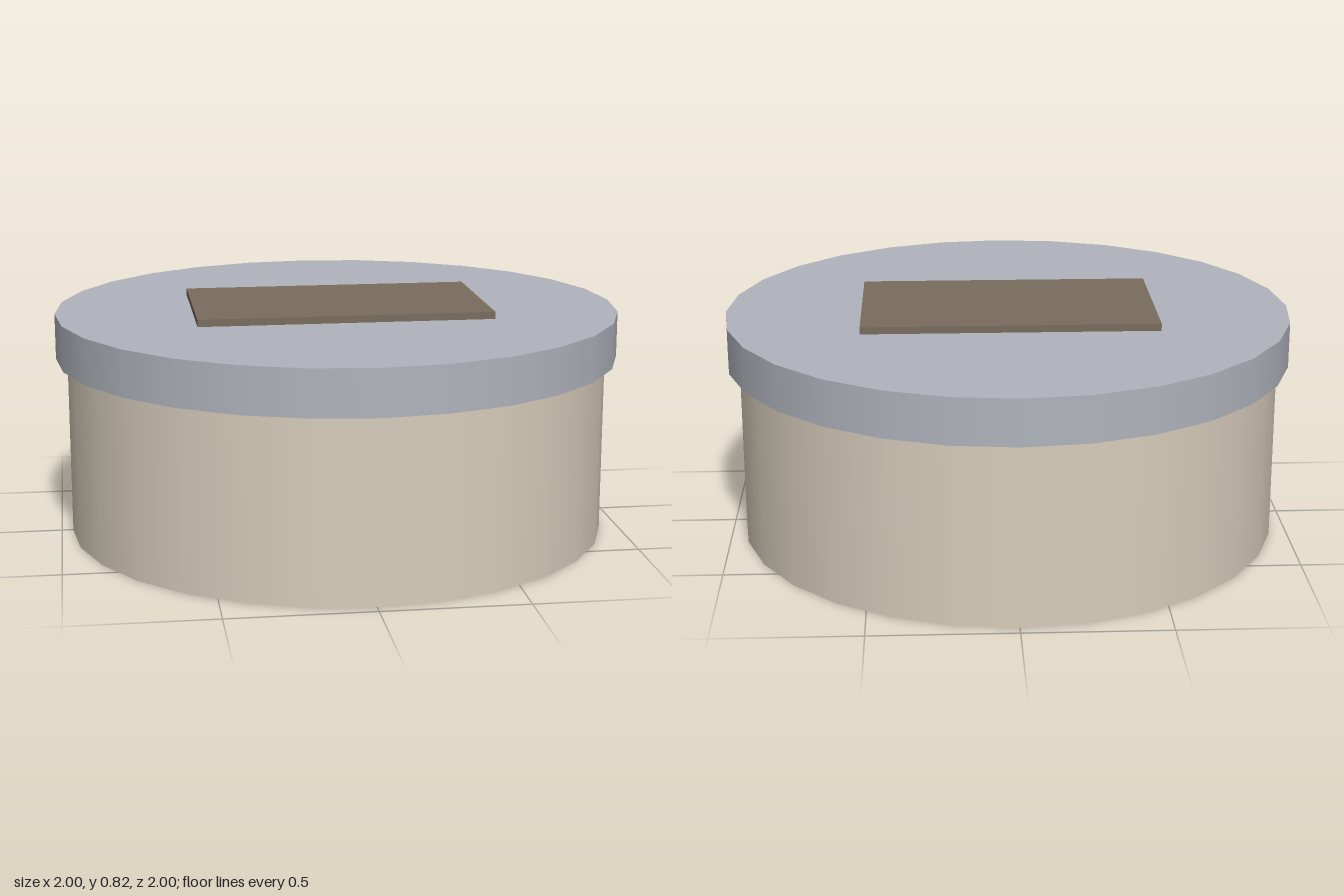
import * as THREE from 'three';

const SIDES = 28;

export function createModel() {
  const group = new THREE.Group();
  group.name = 'roundTin';

  const material = (name, color) => {
    const m = new THREE.MeshStandardMaterial({ color });
    m.name = name;
    return m;
  };
  const cream = material('cream', 0xd8cdbc);
  const grey = material('lidGrey', 0xb0b4bc);
  const brown = material('labelBrown', 0x786c5d);

  const add = (name, geometry, mat, bottom, top) => {
    const mesh = new THREE.Mesh(geometry, mat);
    mesh.name = name;
    mesh.position.y = (bottom + top) / 2;
    group.add(mesh);
  };
  const drum = (radius, height) => new THREE.CylinderGeometry(radius, radius, height, SIDES);

  // Container body
  add('body', drum(0.96, 0.635), cream, 0, 0.635);
  // Overhanging lid
  add('lid', drum(1, 0.16), grey, 0.635, 0.795);
  // Raised plate on the lid
  add('labelPlate', new THREE.BoxGeometry(1.034, 0.025, 0.594), brown, 0.795, 0.82);

  return group;
}
